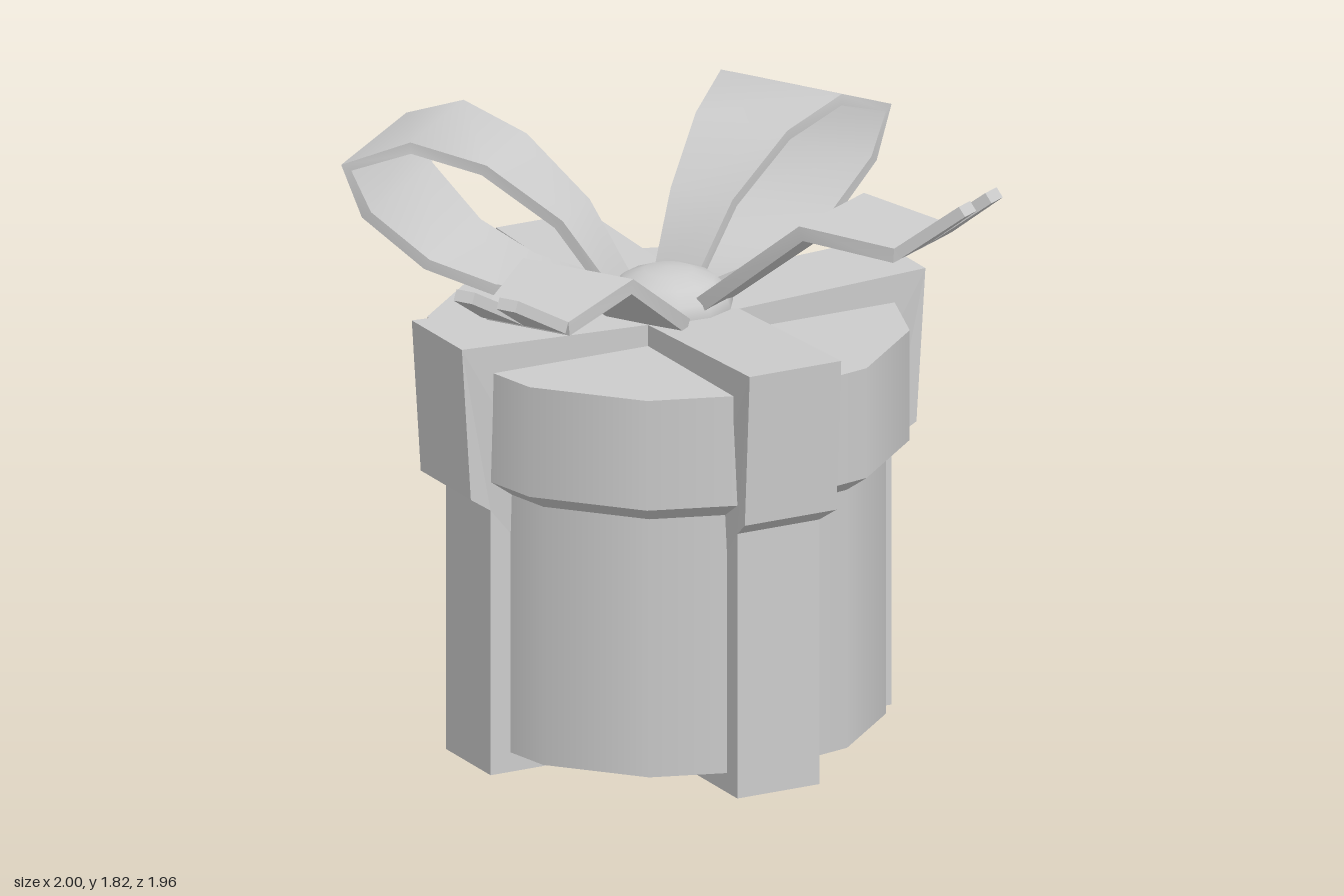
import * as THREE from 'three';
import { toCreasedNormals } from 'three/addons/utils/BufferGeometryUtils.js';

const material = new THREE.MeshStandardMaterial({ color: 0xcccccc });
const CX = 0.08, CZ = -0.055; // axis of the box

function add(parent, geometry, name, x = 0, y = 0, z = 0) {
  const mesh = new THREE.Mesh(geometry, material);
  mesh.name = name;
  mesh.position.set(x, y, z);
  parent.add(mesh);
  return mesh;
}

// Flat strip swept along stations [distance, height, sideA, sideB];
// upper and lower are offsets along the path normal.
function strip(stations, upper, lower, crease) {
  const pos = [], index = [], n = stations.length;
  stations.forEach(([d, y, a, b], i) => {
    const p = stations[Math.max(i - 1, 0)], q = stations[Math.min(i + 1, n - 1)];
    const unit = (u, v) => new THREE.Vector2(v[0] - u[0], v[1] - u[1]).normalize();
    const t = unit(p, stations[i]).add(unit(stations[i], q)).normalize();
    for (const [o, z] of [[upper, a], [upper, b], [lower, b], [lower, a]]) {
      pos.push(d - t.y * o, y + t.x * o, z);
    }
  });
  for (let i = 0; i < n - 1; i++) {
    for (let j = 0; j < 4; j++) {
      const A = i * 4 + j, B = i * 4 + (j + 1) % 4;
      index.push(A, B, B + 4, A, B + 4, A + 4);
    }
  }
  const e = (n - 1) * 4;
  index.push(0, 2, 1, 0, 3, 2, e, e + 1, e + 2, e, e + 2, e + 3);
  const g = new THREE.BufferGeometry();
  g.setAttribute('position', new THREE.Float32BufferAttribute(pos, 3));
  g.setIndex(index);
  return toCreasedNormals(g, crease);
}

// Group whose +x axis points along (dx, dz)
function pointed(parent, name, x, z, dx, dz) {
  const g = new THREE.Group();
  g.name = name;
  g.position.set(x, 0, z);
  g.rotation.y = Math.atan2(-dz, dx);
  parent.add(g);
  return g;
}

// One arm of the ribbon wrapped round the box, wider over the lid
function bandArm() {
  const outline = [[0, 0], [0.67, 0], [0.67, 0.82], [0.745, 0.87], [0.775, 1.34], [0, 1.31]];
  const g = new THREE.ExtrudeGeometry(
    new THREE.Shape(outline.map(([x, y]) => new THREE.Vector2(x, y))),
    { depth: 1, bevelEnabled: false });
  const p = g.attributes.position;
  for (let i = 0; i < p.count; i++) {
    p.setZ(i, (p.getZ(i) - 0.5) * (p.getY(i) < 0.85 ? 0.274 : 0.306));
  }
  g.computeVertexNormals();
  return g;
}

function bowLoop() {
  const path = [[0, 1.33], [0.08, 1.31], [0.35, 1.33], [0.55, 1.40], [0.73, 1.55], [0.79, 1.71],
    [0.59, 1.79], [0.37, 1.73], [0.15, 1.57], [0, 1.36]];
  return strip(path.map(([d, y]) => {
    const half = 0.072 + 0.184 * d / 0.79;
    return [d, y, -half, half];
  }), 0.035, 0, 1.0);
}

// Folded tail ending in two prongs; points are start, fold, notch and tip
function tail(parent, points, widths) {
  const st = points.map(([d, y], i) => [d, y, -widths[i] / 2, widths[i] / 2]);
  add(parent, strip(st.slice(0, 3), 0, -0.045, 0.3), 'tailStrip');
  for (const s of [-1, 1]) {
    const prong = [st[2], st[3]].map(([d, y, a, b], i) => {
      const inner = i ? 0.042 : 0;
      return s < 0 ? [d, y, a, -inner] : [d, y, inner, b];
    });
    add(parent, strip(prong, 0, -0.035, 0.3), 'tailProng');
  }
}

export function createModel() {
  const root = new THREE.Group();
  root.name = 'giftBox';

  // Twelve-sided box and lid
  const drum = (top, bottom, y0, y1, name) => add(root,
    new THREE.CylinderGeometry(top, bottom, y1 - y0, 12, 1, false, Math.PI / 12),
    name, CX, (y0 + y1) / 2, CZ);
  drum(0.64, 0.64, 0.06, 0.87, 'boxBody');
  drum(0.71, 0.64, 0.86, 0.91, 'lidUnderside');
  drum(0.71, 0.71, 0.91, 1.25, 'lid');

  // Crossed ribbon
  const bands = pointed(root, 'ribbonBands', CX, CZ, 0.98, 0.194);
  const arm = bandArm();
  for (let i = 0; i < 4; i++) {
    add(bands, arm, 'ribbonBand').rotation.y = i * Math.PI / 2;
  }

  // Knot
  const knot = add(root, new THREE.SphereGeometry(0.195, 12, 8), 'knot', CX, 1.31, CZ);
  knot.scale.y = 0.6;

  // Two bow loops
  const loop = bowLoop();
  add(pointed(root, 'rightLoop', 0, -0.165, -0.38, -0.71), loop, 'bowLoop');
  add(pointed(root, 'leftLoop', 0.165, -0.13, 0.755, -0.245), loop, 'bowLoop');

  // Two forked tails
  tail(pointed(root, 'frontTail', 0.15, 0.05, 0.313, 0.95),
    [[0, 1.36], [0.42, 1.69], [0.725, 1.665], [0.925, 1.82]], [0.2, 0.36, 0.285, 0.21]);
  tail(pointed(root, 'sideTail', 0, 0.02, -0.947, 0.33),
    [[0.06, 1.34], [0.49, 1.60], [0.785, 1.545], [1.01, 1.67]], [0.25, 0.375, 0.285, 0.21]);

  return root;
}
